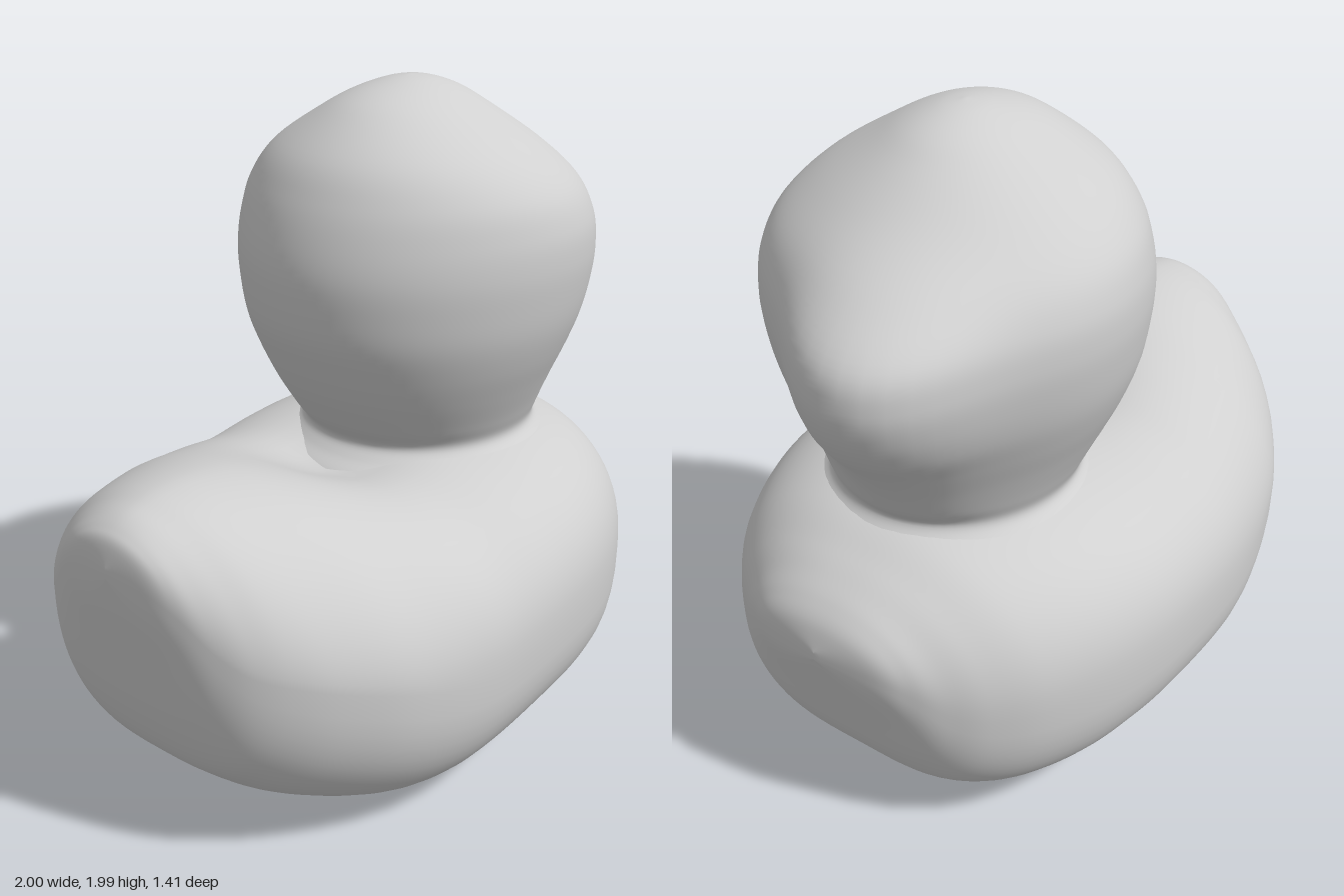
import * as THREE from 'three';
import { mergeVertices } from 'three/addons/utils/BufferGeometryUtils.js';

// Catmull-Rom interpolation through rows of section measurements
function sample(rows, t) {
  const f = t * (rows.length - 1);
  const i = Math.min(Math.floor(f), rows.length - 2);
  const u = f - i;
  const row = (k) => rows[Math.max(0, Math.min(rows.length - 1, k))];
  return rows[i].map((p1, c) => {
    const p0 = row(i - 1)[c], p2 = row(i + 1)[c], p3 = row(i + 2)[c];
    return 0.5 * (2 * p1 + (p2 - p0) * u + (2 * p0 - 5 * p1 + 4 * p2 - p3) * u * u
      + (3 * p1 - p0 - 3 * p2 + p3) * u * u * u);
  });
}

// Smooth closed skin through rings; point(section, angle) gives one [x, y, z]
function loft(rows, steps, sides, point) {
  const pos = [], index = [];
  for (let i = 0; i <= steps; i++) {
    const s = sample(rows, i / steps);
    for (let j = 0; j < sides; j++) pos.push(...point(s, (j / sides) * Math.PI * 2));
  }
  for (let i = 0; i < steps; i++) {
    for (let j = 0; j < sides; j++) {
      const a = i * sides + j, b = i * sides + (j + 1) % sides;
      index.push(a, a + sides, b, b, a + sides, b + sides);
    }
  }
  const geo = new THREE.BufferGeometry();
  geo.setAttribute('position', new THREE.Float32BufferAttribute(pos, 3));
  geo.setIndex(index);
  const merged = mergeVertices(geo, 1e-4);
  merged.computeVertexNormals();
  return merged;
}

// Body sections from tail to chest: x, bottom, top, half width, squareness of the upper half
const bodyRows = [
  [-1.0, 0.86, 0.89, 0, 2],
  [-0.985, 0.75, 0.96, 0.14, 2],
  [-0.96, 0.62, 0.99, 0.225, 1.9],
  [-0.92, 0.42, 1.015, 0.31, 1.8],
  [-0.87, 0.28, 1.03, 0.39, 1.75],
  [-0.8, 0.2, 1.042, 0.465, 1.75],
  [-0.7, 0.125, 1.045, 0.54, 1.75],
  [-0.55, 0.05, 1.028, 0.62, 1.85],
  [-0.4, -0.005, 0.99, 0.665, 2.05],
  [-0.25, -0.025, 0.95, 0.69, 2.3],
  [-0.1, -0.015, 0.925, 0.7, 2.4],
  [0.1, 0.01, 0.94, 0.705, 2.45],
  [0.3, 0.02, 0.955, 0.69, 2.45],
  [0.5, 0.025, 0.95, 0.64, 2.4],
  [0.68, 0.06, 0.92, 0.555, 2.3],
  [0.8, 0.13, 0.86, 0.455, 2.25],
  [0.87, 0.24, 0.815, 0.365, 2.2],
  [0.92, 0.4, 0.775, 0.285, 2.2],
  [0.96, 0.53, 0.725, 0.19, 2.2],
  [0.985, 0.62, 0.65, 0, 2.2],
];

// Head sections from neck to crown: y, centre x, x radius, z radius, beak reach
const headRows = [
  [0.8, 0.32, 0.5, 0.49, 0],
  [0.86, 0.32, 0.46, 0.45, 0],
  [0.9, 0.32, 0.4, 0.39, 0],
  [0.94, 0.32, 0.37, 0.36, 0],
  [1.0, 0.305, 0.4, 0.38, 0.03],
  [1.1, 0.285, 0.445, 0.425, 0.065],
  [1.2, 0.275, 0.485, 0.47, 0.105],
  [1.3, 0.27, 0.52, 0.505, 0.158],
  [1.4, 0.27, 0.537, 0.525, 0.195],
  [1.5, 0.27, 0.54, 0.535, 0.21],
  [1.6, 0.27, 0.52, 0.527, 0.197],
  [1.7, 0.265, 0.477, 0.487, 0.105],
  [1.8, 0.245, 0.395, 0.39, 0.015],
  [1.9, 0.235, 0.268, 0.235, 0],
  [1.95, 0.24, 0.18, 0.145, 0],
  [1.98, 0.25, 0.08, 0.065, 0],
  [1.99, 0.25, 0, 0, 0],
];

const power = (v, n) => Math.sign(v) * Math.pow(Math.abs(v), 2 / n);
const bump = (d, width) => Math.exp(-((d / width) ** 2));

export function createModel() {
  const group = new THREE.Group();
  const grey = new THREE.MeshStandardMaterial({ color: 0xd0d0d0 });
  grey.name = 'plain grey';

  // Rounded-square body with a groove underneath and a hollow between neck and tail
  const body = new THREE.Mesh(loft(bodyRows, 114, 72, ([x, low, high, half, square], a) => {
    const n = Math.sin(a) > 0 ? square : 2.7;
    const s = power(Math.sin(a), n), z = Math.max(0, half) * power(Math.cos(a), n);
    const dent = s < 0
      ? 0.055 * s ** 6 * bump(z, 0.23) * bump(x - 0.1, 0.6)
      : -0.06 * s ** 4 * bump(z, 0.2) * bump(x + 0.14, 0.2);
    return [x, (low + high) / 2 + ((high - low) / 2) * s + dent, z];
  }), grey);
  body.name = 'body';

  // Egg-shaped head whose blunt beak bulges forward, turned slightly to the right
  const head = new THREE.Mesh(loft(headRows, 96, 80, ([y, cx, rx, rz, reach], a) => {
    const turn = (a > Math.PI ? a - 2 * Math.PI : a) + 0.25;
    const beak = Math.max(0, reach) * bump(turn, 0.43);
    return [
      cx + (Math.max(0, rx) + beak) * Math.cos(a) + 0.2 * reach * Math.sin(a) ** 2, y,
      (Math.max(0, rz) + beak) * Math.sin(a),
    ];
  }), grey);
  head.name = 'headAndBeak';

  group.add(body, head);
  return group;
}
